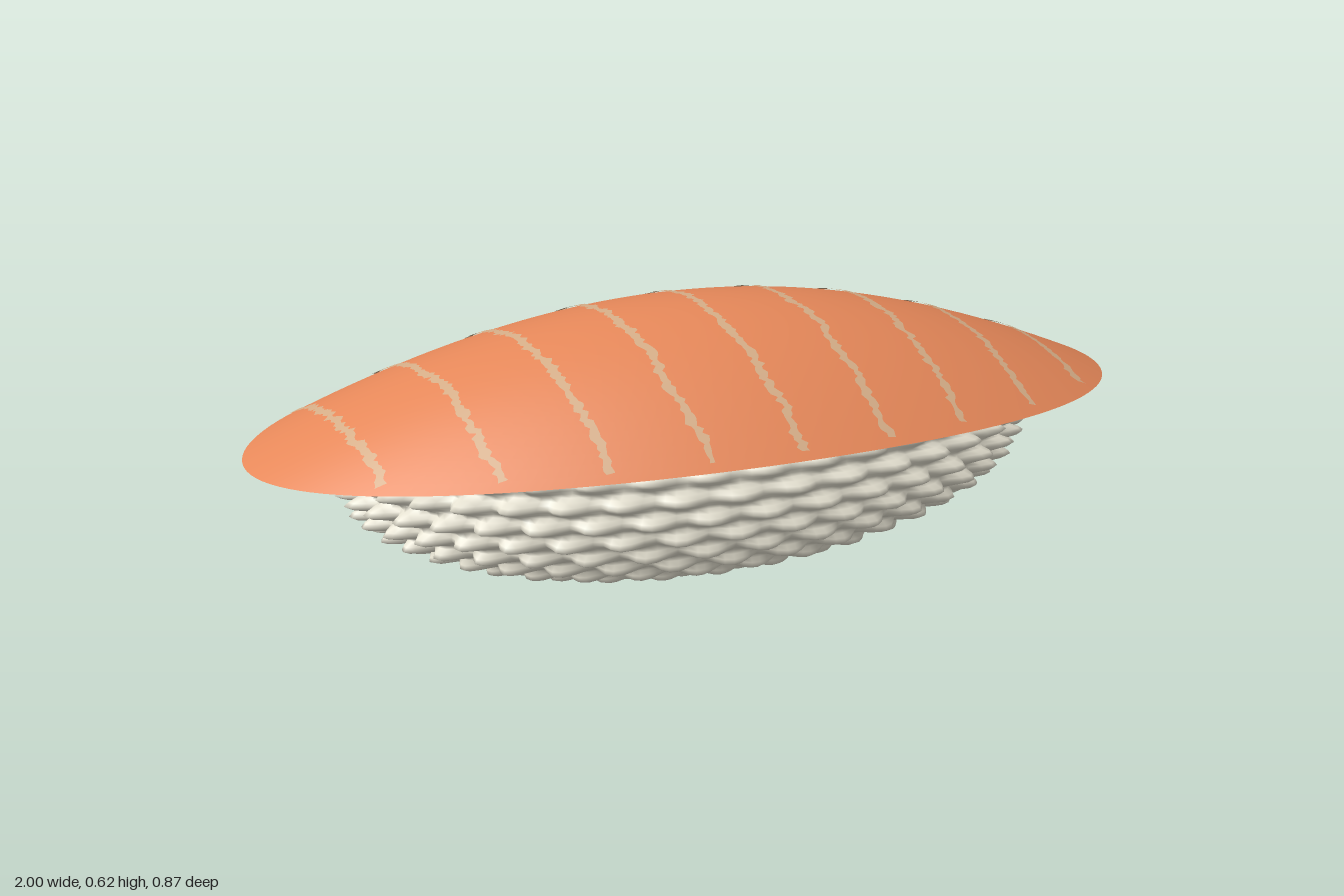
import * as THREE from 'three';
import { mergeVertices } from 'three/addons/utils/BufferGeometryUtils.js';

const HALF_X = 1, HALF_Z = 0.435;

// Height of the draped slice: a soft dome over a rim that droops at the ends
function sliceHeight(x, z) {
  const r2 = Math.min(1, (x / HALF_X) ** 2 + (z / HALF_Z) ** 2);
  const dome = 0.5 * (1 - r2) + 0.5 * Math.cos(Math.sqrt(r2) * Math.PI / 2);
  return 0.41 - 0.045 * x * x + 0.213 * dome;
}

// Weld seams so that normals are smooth all round
function smooth(geometry) {
  geometry.deleteAttribute('uv');
  geometry.deleteAttribute('normal');
  const welded = mergeVertices(geometry, 1e-5);
  welded.computeVertexNormals();
  return welded;
}

function sliceGeometry() {
  const geo = new THREE.RingGeometry(0, 1, 128, 24).rotateX(-Math.PI / 2);
  const p = geo.attributes.position;
  for (let i = 0; i < p.count; i++) {
    const x = p.getX(i) * HALF_X, z = p.getZ(i) * HALF_Z;
    p.setXYZ(i, x, sliceHeight(x, z), z);
  }
  return smooth(geo);
}

// Ragged ribbon following the slice along x = c + slope * z
function stripeGeometry(c, lift, random) {
  const slope = 0.25, reach = 0.93;
  const a = slope * slope + 1 / HALF_Z ** 2, b = 2 * c * slope, d = c * c - reach;
  const root = Math.sqrt(b * b - 4 * a * d);
  const z0 = (-b - root) / (2 * a), z1 = (-b + root) / (2 * a);
  const rows = Math.ceil((z1 - z0) / 0.007);
  const points = [], index = [];
  let wander = 0;
  for (let i = 0; i <= rows; i++) {
    const z = z0 + (z1 - z0) * i / rows;
    wander = wander * 0.85 + (random() - 0.5) * 0.008;
    const mid = c + slope * z + wander;
    for (const side of [-1, 1]) {
      const x = mid + side * (0.004 + 0.011 * random());
      points.push(x, sliceHeight(x, z) + lift, z);
    }
    if (i < rows) {
      const k = i * 2;
      index.push(k, k + 2, k + 1, k + 1, k + 2, k + 3);
    }
  }
  const geo = new THREE.BufferGeometry();
  geo.setAttribute('position', new THREE.Float32BufferAttribute(points, 3));
  geo.setIndex(index);
  geo.computeVertexNormals();
  return geo;
}

// Ellipsoid covered in rows of rounded grain bumps
function riceGeometry() {
  const rows = 18, centres = [];
  for (let i = 0; i < rows; i++) {
    const polar = (i + 0.5) / rows * Math.PI;
    const count = Math.max(4, Math.round(38 * Math.sin(polar)));
    for (let j = 0; j < count; j++) {
      const turn = (j + (i % 2) * 0.5) / count * Math.PI * 2;
      centres.push(new THREE.Vector3().setFromSphericalCoords(1, polar, turn));
    }
  }
  const geo = new THREE.SphereGeometry(1, 200, 110);
  const p = geo.attributes.position, v = new THREE.Vector3();
  for (let i = 0; i < p.count; i++) {
    v.fromBufferAttribute(p, i).normalize();
    let near = 4;
    for (const c of centres) near = Math.min(near, v.distanceToSquared(c));
    const t = Math.min(1, Math.sqrt(near) / 0.105);
    v.multiplyScalar(0.92 + 0.08 * (0.5 + 0.5 * Math.cos(Math.PI * t)));
    p.setXYZ(i, v.x * 0.815, v.y * 0.287 + 0.287, v.z * 0.378);
  }
  return smooth(geo);
}

export function createModel() {
  const model = new THREE.Group();
  model.name = 'fishOnRice';

  const salmon = new THREE.MeshStandardMaterial({ color: 0xe8895a, side: THREE.DoubleSide });
  salmon.name = 'salmon orange';
  const fat = new THREE.MeshStandardMaterial({ color: 0xd6ae88, side: THREE.DoubleSide });
  fat.name = 'pale fat';
  const rice = new THREE.MeshStandardMaterial({ color: 0xe4e0d0 });
  rice.name = 'rice white';

  const add = (parent, name, geo, material) => {
    const mesh = new THREE.Mesh(geo, material);
    mesh.name = name;
    parent.add(mesh);
  };

  add(model, 'riceBall', riceGeometry(), rice);

  const topping = new THREE.Group();
  topping.name = 'fishTopping';
  model.add(topping);
  add(topping, 'fishSlice', sliceGeometry(), salmon);

  // Fat lines show on both faces of the slice
  let seed = 7;
  const random = () => (seed = (seed * 16807) % 2147483647) / 2147483647;
  for (let k = -4; k <= 4; k++) {
    const c = 0.012 + 0.205 * k;
    add(topping, 'fatLineUpper', stripeGeometry(c, 0.003, random), fat);
    add(topping, 'fatLineLower', stripeGeometry(c, -0.003, random), fat);
  }
  return model;
}
